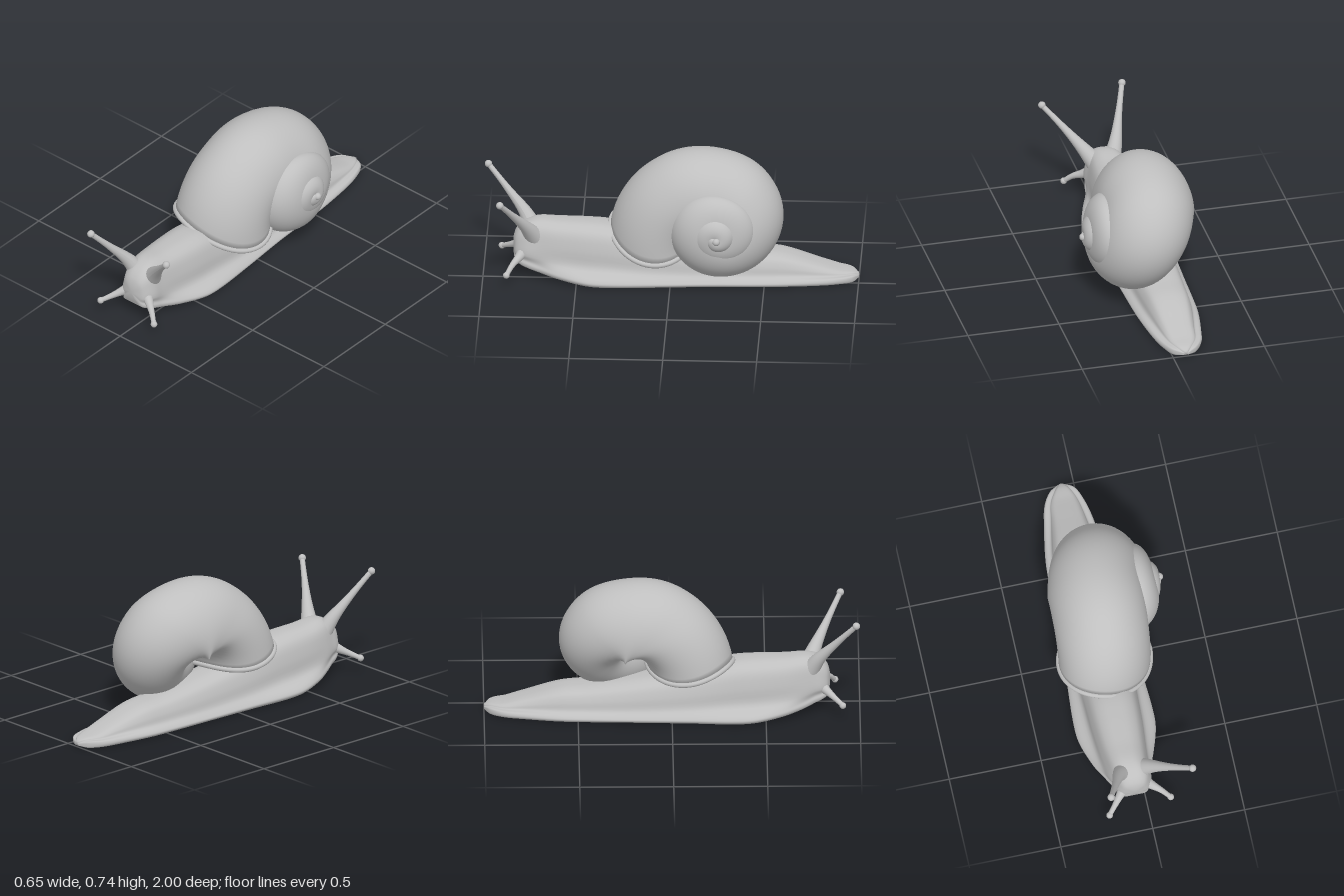
import * as THREE from 'three';

const V = (x, y, z) => new THREE.Vector3(x, y, z);

// Smooth interpolation of table rows, keyed by their first column
function sample(rows, t) {
  let i = 0;
  while (i < rows.length - 2 && t > rows[i + 1][0]) i++;
  const slope = (k, c) => {
    const a = rows[Math.max(k - 1, 0)], b = rows[Math.min(k + 1, rows.length - 1)];
    return (b[c] - a[c]) / (b[0] - a[0]);
  };
  const p = rows[i], q = rows[i + 1], d = q[0] - p[0], u = (t - p[0]) / d;
  const u2 = u * u, u3 = u2 * u;
  return p.map((_, c) => (2 * u3 - 3 * u2 + 1) * p[c] + (3 * u2 - 2 * u3) * q[c]
    + d * ((u3 - 2 * u2 + u) * slope(i, c) + (u3 - u2) * slope(i + 1, c)));
}

// Closed skin over equal-sized rings
function loft(rings) {
  const n = rings[0].length, index = [];
  for (let i = 0; i < rings.length - 1; i++) {
    for (let j = 0; j < n; j++) {
      const a = i * n + j, b = i * n + (j + 1) % n;
      index.push(a, b, a + n, b, b + n, a + n);
    }
  }
  const g = new THREE.BufferGeometry().setFromPoints(rings.flat());
  g.setIndex(index);
  g.computeVertexNormals();
  return g;
}

function collapse(ring, offset = V(0, 0, 0)) {
  const c = ring.reduce((s, p) => s.add(p), V(0, 0, 0)).divideScalar(ring.length).add(offset);
  return ring.map(() => c.clone());
}

// Body stations: z, centre x, sole y, foot half width, rim y, body half width, top y
const BODY = [
  [-1, -0.07, 0.008, 0.015, 0.02, 0.01, 0.03],
  [-0.97, -0.07, 0, 0.065, 0.033, 0.035, 0.045],
  [-0.9, -0.075, 0, 0.105, 0.035, 0.07, 0.06],
  [-0.8, -0.075, 0, 0.13, 0.035, 0.09, 0.09],
  [-0.6, -0.08, 0, 0.16, 0.035, 0.12, 0.15],
  [-0.45, -0.08, 0, 0.17, 0.035, 0.13, 0.165],
  [-0.2, -0.08, 0, 0.18, 0.035, 0.14, 0.2],
  [0.1, -0.075, 0, 0.2, 0.04, 0.15, 0.25],
  [0.33, -0.075, 0, 0.215, 0.045, 0.145, 0.3],
  [0.45, -0.075, 0.006, 0.21, 0.05, 0.14, 0.31],
  [0.6, -0.075, 0.025, 0.165, 0.07, 0.125, 0.315],
  [0.7, -0.07, 0.045, 0.12, 0.09, 0.11, 0.322],
  [0.76, -0.06, 0.065, 0.1, 0.11, 0.1, 0.31],
  [0.8, -0.06, 0.08, 0.085, 0.12, 0.087, 0.285],
  [0.83, -0.06, 0.1, 0.06, 0.13, 0.062, 0.245],
  [0.84, -0.06, 0.14, 0.025, 0.16, 0.025, 0.21],
];

function bodyRing(zAt) {
  const [z, cx, y0, w, rim, b, top] = sample(BODY, zAt);
  const up = k => rim + k * (top - rim);
  const half = [
    [0.6 * w, y0], [0.93 * w, y0 + 0.06 * (rim - y0)], [w, y0 + 0.5 * (rim - y0)], [0.94 * w, rim],
    [b * 1.04, up(0.16)], [b * 0.95, up(0.5)], [b * 0.76, up(0.83)], [b * 0.42, up(0.97)],
  ];
  const pts = [[0, y0], ...half, [0, top], ...half.map(([x, y]) => [-x, y]).reverse()];
  const curve = new THREE.CatmullRomCurve3(pts.map(([x, y]) => V(cx + x, y, z)), true);
  return Array.from({ length: 72 }, (_, j) => {
    const p = curve.getPoint(j / 72);
    p.y = Math.max(p.y, 0);
    return p;
  });
}

// Shell stations: angle, outer radius, section centre radius, section centre x, half width
const SHELL = [
  [-8, 0.58, 0.37, -0.065, 0.25],
  [20, 0.5, 0.25, -0.06, 0.25],
  [45, 0.44, 0.15, -0.055, 0.253],
  [90, 0.365, 0.08, -0.05, 0.255],
  [135, 0.355, 0.08, -0.03, 0.253],
  [180, 0.35, 0.08, 0, 0.245],
  [225, 0.32, 0.08, 0.045, 0.22],
  [270, 0.285, 0.08, 0.09, 0.19],
  [360, 0.25, 0.06, 0.13, 0.155],
  [450, 0.21, 0.06, 0.18, 0.095],
  [540, 0.205, 0.05, 0.19, 0.09],
  [630, 0.165, 0.04, 0.2, 0.09],
  [720, 0.135, 0.04, 0.21, 0.09],
  [900, 0.105, 0.03, 0.23, 0.077],
  [1080, 0.05, 0.01, 0.262, 0.05],
  [1170, 0.02, 0, 0.28, 0.03],
];

function shellRing(deg) {
  const [, R, rc, xc, hx] = sample(SHELL, deg);
  const slant = Math.max(0, 1 - (deg + 8) / 75);
  return Array.from({ length: 64 }, (_, j) => {
    const f = j / 64 * Math.PI * 2;
    const r = Math.max(0, rc + (R - rc) * Math.cos(f));
    // The mouth leans so that it lies over the back
    const lean = slant * (17 * (1 - Math.cos(f)) + 8 * Math.sin(f));
    const a = THREE.MathUtils.degToRad(deg - lean);
    return V(xc + hx * Math.sin(f), 0.37 + r * Math.sin(a), -0.25 + r * Math.cos(a));
  });
}

export function createModel() {
  const model = new THREE.Group();
  model.name = 'snail';
  const skin = new THREE.MeshStandardMaterial({ color: 0xbfbfbf });
  skin.name = 'grey';
  const add = (name, geometry, parent = model) => {
    const mesh = new THREE.Mesh(geometry, skin);
    mesh.name = name;
    parent.add(mesh);
    return mesh;
  };

  // Body, foot and head in one skin
  const bodyRings = [];
  for (let i = 0; i <= 110; i++) {
    const u = i / 110;
    // Stations crowd towards both rounded ends
    const e = 0.5 * u + 0.5 * (0.5 - 0.5 * Math.cos(Math.PI * u));
    bodyRings.push(bodyRing(-1 + 1.84 * e));
  }
  add('body', loft([collapse(bodyRings[0]), ...bodyRings, collapse(bodyRings.at(-1))]));

  // Coiled shell, with a recessed mouth
  const shellRings = [];
  for (let i = 0; i <= 260; i++) shellRings.push(shellRing(-8 + 1178 * i / 260));
  const mouth = shellRings[0];
  add('shell', loft([collapse(mouth, V(0, 0.06, -0.02)), ...shellRings, collapse(shellRings.at(-1))]));

  // Rolled lip round the mouth
  const lipCurve = new THREE.CatmullRomCurve3(mouth.filter((_, j) => j % 2 === 0), true);
  add('shellLip', new THREE.TubeGeometry(lipCurve, 100, 0.014, 10, true));

  // Nub at the tip of the spire
  const nub = add('shellTip', new THREE.SphereGeometry(0.02, 20, 14));
  nub.position.set(0.306, 0.37, -0.255);

  // Tapered feelers with round tips
  const feeler = (name, points, base, neck, ball) => {
    const group = new THREE.Group();
    group.name = name;
    model.add(group);
    const curve = new THREE.CatmullRomCurve3(points.map(p => V(...p)));
    const rows = 32, sides = 18;
    const g = new THREE.TubeGeometry(curve, rows, 1, sides);
    const pos = g.attributes.position, p = V(0, 0, 0);
    for (let i = 0; i < pos.count; i++) {
      const t = Math.floor(i / (sides + 1)) / rows;
      const c = curve.getPointAt(t);
      p.fromBufferAttribute(pos, i).sub(c).multiplyScalar(neck + (base - neck) * (1 - t) ** 2.2).add(c);
      pos.setXYZ(i, p.x, p.y, p.z);
    }
    g.computeVertexNormals();
    add('stalk', g, group);
    add('tip', new THREE.SphereGeometry(ball, 20, 14), group).position.set(...points.at(-1));
  };
  feeler('rightUpperFeeler',
    [[-0.105, 0.24, 0.735], [-0.135, 0.32, 0.78], [-0.175, 0.43, 0.87], [-0.222, 0.558, 0.98]], 0.052, 0.014, 0.02);
  feeler('leftUpperFeeler',
    [[-0.01, 0.24, 0.73], [0.045, 0.31, 0.765], [0.13, 0.41, 0.825], [0.238, 0.53, 0.9]], 0.052, 0.014, 0.02);
  feeler('rightLowerFeeler',
    [[-0.09, 0.165, 0.775], [-0.135, 0.135, 0.82], [-0.175, 0.108, 0.865], [-0.215, 0.082, 0.908]], 0.042, 0.013, 0.018);
  feeler('leftLowerFeeler',
    [[-0.02, 0.17, 0.77], [0.035, 0.135, 0.805], [0.085, 0.108, 0.84], [0.126, 0.067, 0.87]], 0.042, 0.013, 0.018);

  return model;
}
